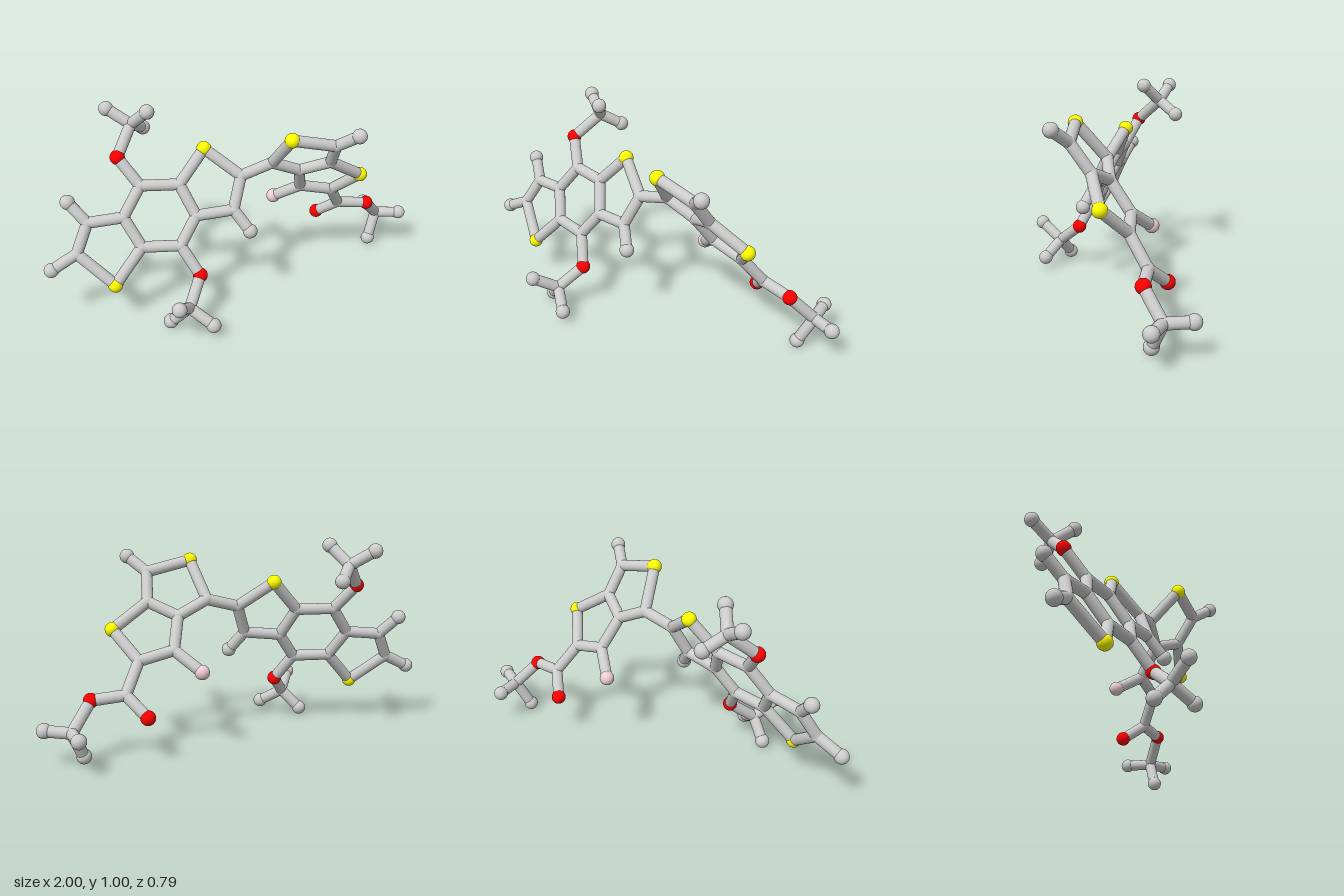
import * as THREE from 'three';

const BOND_RADIUS = 0.028, JOINT_RADIUS = 0.03, BALL_RADIUS = 0.036;

// the two flat ring systems lie on tilted planes z = f(x, y)
const leftPlane = (x, y) => 0.286 * x - 0.49 * y + 0.36;
const rightPlane = (x, y) => 0.331 * x + 0.772 * y - 0.551;

const material = (color) => new THREE.MeshStandardMaterial({ color });
const materials = {
  joint: material(0xcccccc), tip: material(0xcccccc), sulfur: material(0xffff00),
  oxygen: material(0xff0000), fluorine: material(0xeccdd6),
};
const ballGeometry = new THREE.SphereGeometry(BALL_RADIUS, 28, 20);
const jointGeometry = new THREE.SphereGeometry(JOINT_RADIUS, 28, 20);

// a molecule part: atoms are id: [kind, x, y, z], bonds are chains of ids
function buildPart(name, atoms, chains, plane) {
  const part = new THREE.Group();
  part.name = name;
  const points = {};
  for (const [id, [kind, x, y, z = plane(x, y)]] of Object.entries(atoms)) {
    points[id] = new THREE.Vector3(x, y, z);
    if (kind === 'anchor') continue;
    const ball = new THREE.Mesh(kind === 'joint' ? jointGeometry : ballGeometry, materials[kind]);
    ball.name = kind + 'Atom';
    ball.position.copy(points[id]);
    part.add(ball);
  }
  for (const chain of chains) {
    const ids = chain.split(' ');
    for (let i = 1; i < ids.length; i++) {
      const a = points[ids[i - 1]], b = points[ids[i]];
      const direction = b.clone().sub(a);
      const bond = new THREE.Mesh(
        new THREE.CylinderGeometry(BOND_RADIUS, BOND_RADIUS, direction.length(), 24, 1, true),
        materials.joint);
      bond.name = 'bond';
      bond.position.copy(a).add(b).multiplyScalar(0.5);
      bond.quaternion.setFromUnitVectors(new THREE.Vector3(0, 1, 0), direction.normalize());
      part.add(bond);
    }
  }
  return part;
}

export function createModel() {
  const model = new THREE.Group();
  model.name = 'molecule';

  // three fused rings on the left
  model.add(buildPart('threeRingCore', {
    s1: ['sulfur', -0.69, 0.21], a: ['joint', -0.84, 0.355], b: ['joint', -0.768, 0.487],
    c: ['joint', -0.6, 0.503], d: ['joint', -0.54, 0.37], e: ['joint', -0.5, 0.637],
    f: ['joint', -0.32, 0.635], g: ['joint', -0.267, 0.495], h: ['joint', -0.362, 0.368],
    s2: ['sulfur', -0.18, 0.785], j: ['joint', -0.03, 0.66], k: ['joint', -0.09, 0.513],
    tipA: ['tip', -0.967, 0.29], tipB: ['tip', -0.84, 0.58], tipK: ['tip', -0.03, 0.415],
  }, ['s1 a b c d s1', 'c e f g h d', 'f s2 j k g', 'a tipA', 'b tipB', 'k tipK'], leftPlane));

  // side arms: oxygen, carbon and three tips
  model.add(buildPart('upperArm', {
    root: ['anchor', -0.5, 0.637], o: ['oxygen', -0.58, 0.763], c: ['joint', -0.48, 0.878, -0.28],
    t1: ['tip', -0.58, 0.948, -0.345], t2: ['tip', -0.42, 0.967, -0.19],
    t3: ['tip', -0.402, 0.815, -0.358],
  }, ['root o c t1', 'c t2', 'c t3'], leftPlane));
  model.add(buildPart('lowerArm', {
    root: ['anchor', -0.362, 0.368], o: ['oxygen', -0.295, 0.233], c: ['joint', -0.385, 0.13, 0.262],
    t1: ['tip', -0.465, 0.207, 0.36], t2: ['tip', -0.465, 0.037, 0.207],
    t3: ['tip', -0.295, 0.06, 0.345],
  }, ['root o c t1', 'c t2', 'c t3'], leftPlane));

  // two fused rings on the right, with the linking bond
  model.add(buildPart('twoRingCore', {
    link: ['anchor', -0.03, 0.66, leftPlane(-0.03, 0.66)],
    l: ['joint', 0.13, 0.703], s3: ['sulfur', 0.165, 0.88], m: ['joint', 0.38, 0.828],
    n: ['joint', 0.405, 0.695], q: ['joint', 0.28, 0.632], s4: ['sulfur', 0.59, 0.578],
    o: ['joint', 0.5, 0.445], p: ['joint', 0.333, 0.487],
    tipM: ['tip', 0.455, 0.9], f: ['fluorine', 0.23, 0.394],
  }, ['link l s3 m n q l', 'n s4 o p q', 'm tipM', 'p f'], rightPlane));

  // end arm with two oxygens
  model.add(buildPart('endArm', {
    root: ['anchor', 0.5, 0.445], r: ['joint', 0.587, 0.308], o1: ['oxygen', 0.51, 0.217, -0.215],
    o2: ['oxygen', 0.743, 0.29, -0.083], c: ['joint', 0.85, 0.168, -0.155],
    t1: ['tip', 0.963, 0.175, -0.095], t2: ['tip', 0.79, 0.037, -0.115],
    t3: ['tip', 0.845, 0.17, -0.285],
  }, ['root r o1', 'r o2 c t1', 'c t2', 'c t3'], rightPlane));

  return model;
}
